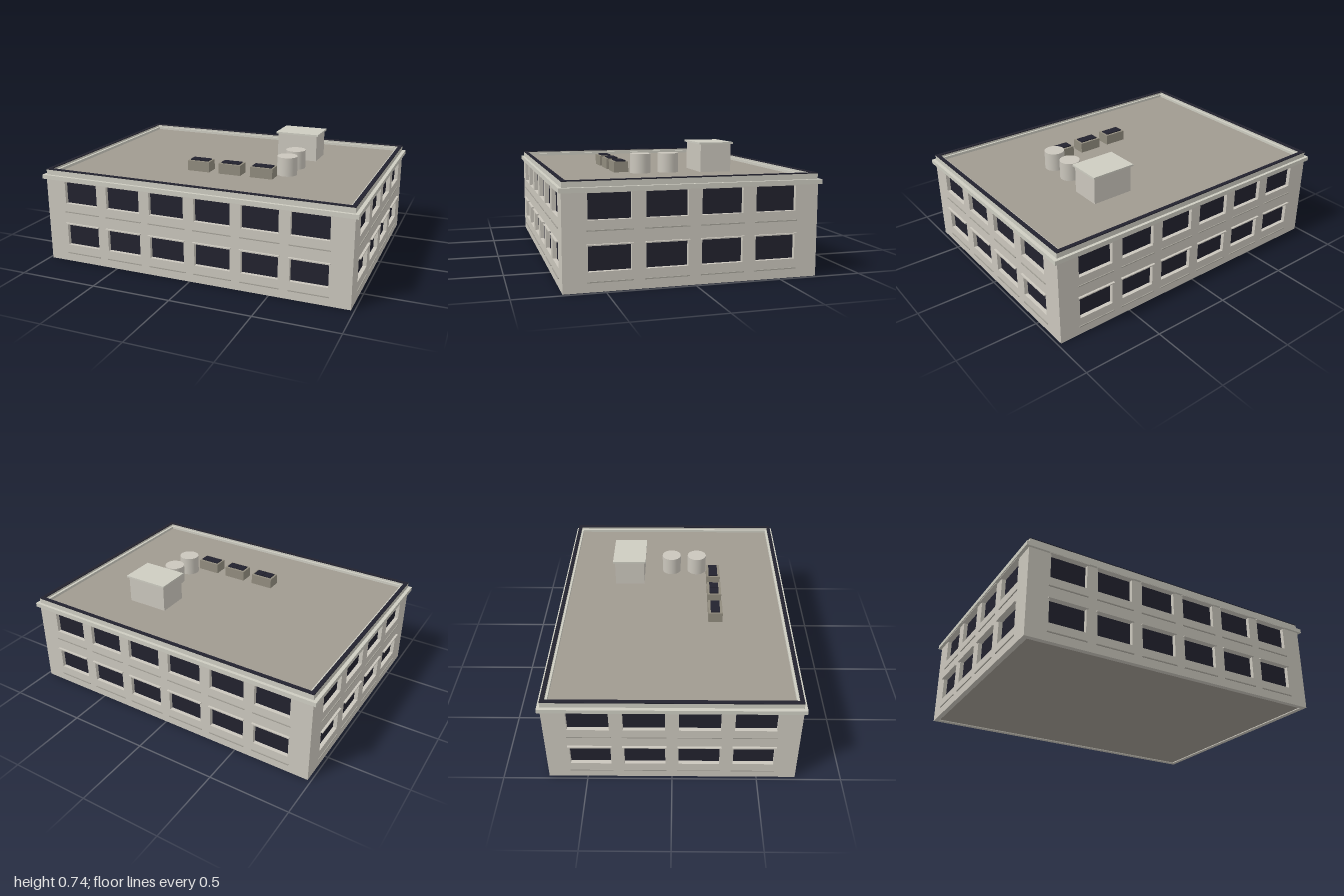
import * as THREE from 'three';

const mat = (name, color) => {
  const m = new THREE.MeshStandardMaterial({ color });
  m.name = name;
  return m;
};

export function createModel() {
  const wall = mat('pale stone', 0xcac6bc);
  const trim = mat('light trim', 0xcdccc1);
  const glass = mat('dark glass', 0x22222e);
  const roofing = mat('roof gravel', 0xa09a90);
  const metal = mat('skylight metal', 0x918c7e);
  const ledgeGrey = mat('ledge grey', 0xa5a299);

  const model = new THREE.Group();
  model.name = 'officeBuilding';
  const HX = 0.98, HZ = 0.73, H = 0.535, T = 0.03;

  const add = (parent, name, geo, material, x = 0, y = 0, z = 0) => {
    const m = new THREE.Mesh(geo, material);
    m.name = name;
    m.position.set(x, y, z);
    parent.add(m);
    return m;
  };
  // Box given by its centre in x and z and its lower and upper y
  const box = (parent, name, material, w, y0, y1, d, x = 0, z = 0) =>
    add(parent, name, new THREE.BoxGeometry(w, y1 - y0, d), material, x, (y0 + y1) / 2, z);

  const rect = (C, x0, y0, x1, y1) => {
    const p = new C();
    p.moveTo(x0, y0);
    p.lineTo(x1, y0);
    p.lineTo(x1, y1);
    p.lineTo(x0, y1);
    p.closePath();
    return p;
  };
  // Flat rectangular ring lying around the roof
  const ring = (name, material, ox, oz, ix, iz, y0, y1) => {
    const s = rect(THREE.Shape, -ox, -oz, ox, oz);
    s.holes.push(rect(THREE.Path, -ix, -iz, ix, iz));
    const g = new THREE.ExtrudeGeometry(s, { depth: y1 - y0, bevelEnabled: false });
    g.rotateX(-Math.PI / 2);
    return add(model, name, g, material, 0, y0, 0);
  };

  // One facade: pierced wall, recessed panes, lintels and ledges
  const storeys = [[0.11, 0.252], [0.386, 0.531]];
  function facade(name, half, dist, centres, w, angle) {
    const g = new THREE.Group();
    g.name = name;
    const s = rect(THREE.Shape, -half, 0, half, H);
    for (const [y0, y1] of storeys) {
      for (const c of centres) {
        s.holes.push(rect(THREE.Path, c - w / 2, y0, c + w / 2, y1));
        box(g, 'windowPane', glass, w + 0.01, y0 - 0.005, Math.min(y1 + 0.005, H), 0.008, c, dist - T + 0.002);
        box(g, 'lintel', wall, w + 0.016, y1, y1 + 0.007, 0.02, c, dist + 0.004);
        box(g, 'ledge', ledgeGrey, w + 0.016, y0 - 0.058, y0 - 0.052, 0.01, c, dist);
      }
    }
    const panel = new THREE.ExtrudeGeometry(s, { depth: T, bevelEnabled: false });
    add(g, 'wallPanel', panel, wall, 0, 0, dist - T);
    g.rotation.y = angle;
    model.add(g);
  }
  const longRow = [-0.735, -0.441, -0.147, 0.147, 0.441, 0.735];
  const shortRow = [-0.474, -0.158, 0.158, 0.474];
  facade('frontFacade', HX, HZ, longRow, 0.225, 0);
  facade('backFacade', HX, HZ, longRow, 0.225, Math.PI);
  facade('leftFacade', HZ - T, HX, shortRow, 0.238, Math.PI / 2);
  facade('rightFacade', HZ - T, HX, shortRow, 0.238, -Math.PI / 2);

  // Floor and roof slabs
  box(model, 'floorSlab', roofing, 2 * (HX - T), 0.006, 0.03, 2 * (HZ - T));
  box(model, 'roofSlab', roofing, 1.9, 0.535, 0.563, 1.4);

  // Cornice, parapet with dark coping, inner kerb
  ring('cornice', trim, 1, 0.745, 0.94, 0.69, H, 0.561);
  ring('parapet', trim, 0.978, 0.727, 0.953, 0.703, 0.561, 0.592);
  ring('coping', glass, 0.978, 0.727, 0.953, 0.703, 0.592, 0.597);
  ring('innerKerb', trim, 0.953, 0.703, 0.937, 0.69, 0.561, 0.58);

  // Stair hut
  box(model, 'stairHut', wall, 0.266, 0.56, 0.733, 0.194, 0.363, -0.296);
  box(model, 'stairHutRoof', trim, 0.288, 0.733, 0.744, 0.218, 0.363, -0.296);

  // Water tanks
  for (const z of [-0.014, 0.16]) {
    add(model, 'waterTank', new THREE.CylinderGeometry(0.063, 0.063, 0.12, 32), wall, 0.413, 0.62, z);
  }

  // Skylights: the first two have split panes
  [[-0.126, 2], [0.085, 2], [0.295, 1]].forEach(([x, n]) => {
    box(model, 'skylight', metal, 0.146, 0.56, 0.628, 0.09, x, 0.269);
    const w = 0.124 / n;
    for (let i = 0; i < n; i++) {
      box(model, 'skylightPane', glass, w - (n > 1 ? 0.004 : 0), 0.628, 0.635, 0.058, x + (i - (n - 1) / 2) * w, 0.268);
    }
  });
  return model;
}
